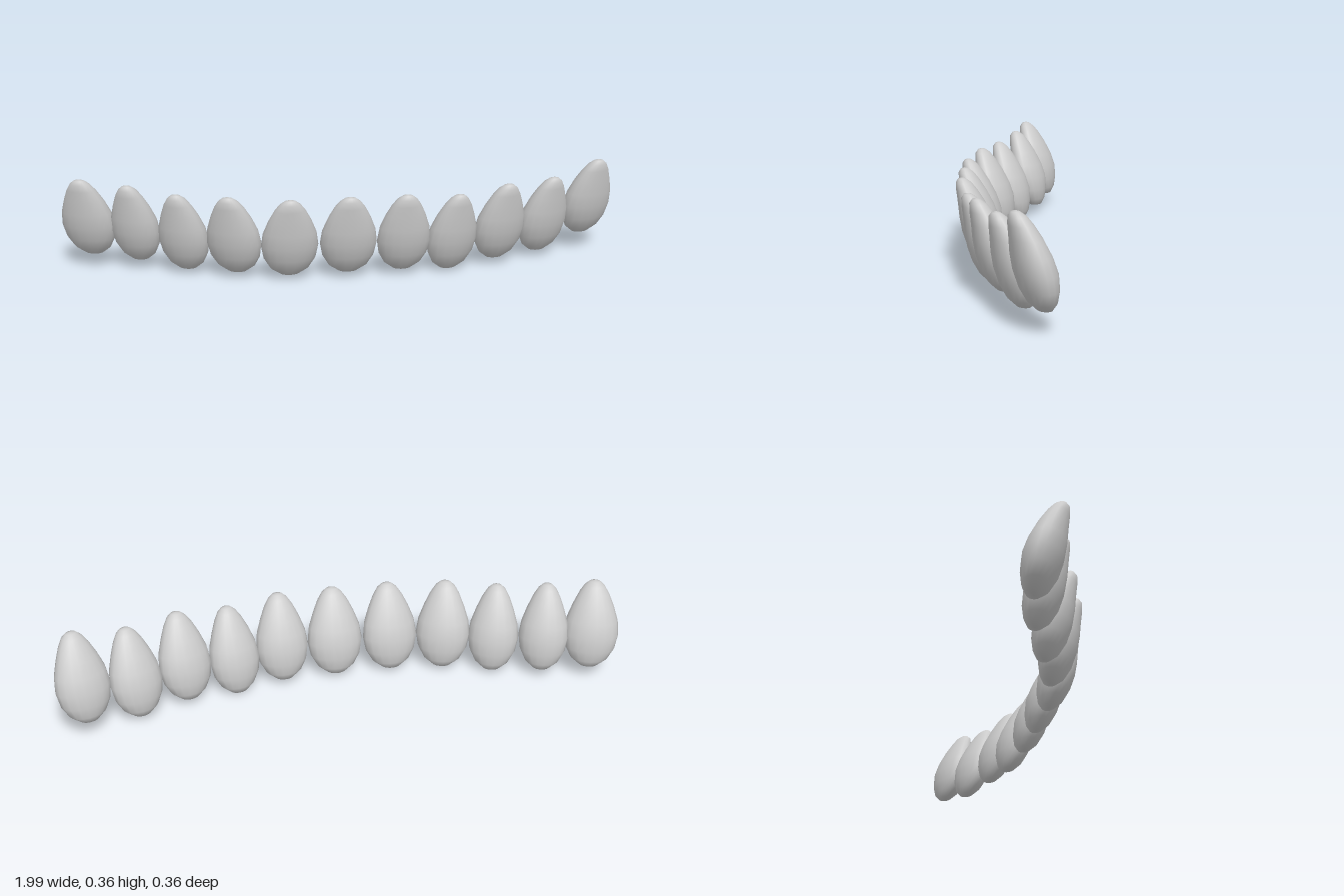
import * as THREE from 'three';

// Cross-sections of one tooth from biting edge to root tip:
// [height, half width, back z, front z], z measured from the crown centre
const LEVELS = [
  [0.005, 0.034, -0.058, -0.012],
  [0.03, 0.068, -0.069, 0.015],
  [0.07, 0.091, -0.073, 0.038],
  [0.12, 0.1, -0.068, 0.055],
  [0.17, 0.093, -0.050, 0.064],
  [0.22, 0.074, -0.024, 0.069],
  [0.26, 0.054, 0.002, 0.074],
  [0.285, 0.036, 0.022, 0.075],
  [0.298, 0.019, 0.04, 0.067],
];
const SIDES = 18;

function toothGeometry() {
  const pos = [0, 0, -0.035];
  for (const [y, w, back, front] of LEVELS) {
    for (let i = 0; i < SIDES; i++) {
      const a = (i / SIDES) * Math.PI * 2;
      pos.push(w * Math.cos(a), y, (front + back) / 2 + ((front - back) / 2) * Math.sin(a));
    }
  }
  pos.push(0, 0.302, 0.053);
  const tip = pos.length / 3 - 1;
  const at = (level, i) => 1 + level * SIDES + (i % SIDES);
  const last = LEVELS.length - 1;
  const index = [];
  for (let i = 0; i < SIDES; i++) {
    index.push(0, at(0, i), at(0, i + 1));
    for (let l = 0; l < last; l++) {
      index.push(at(l, i), at(l + 1, i), at(l, i + 1));
      index.push(at(l, i + 1), at(l + 1, i), at(l + 1, i + 1));
    }
    index.push(at(last, i), tip, at(last, i + 1));
  }
  const g = new THREE.BufferGeometry();
  g.setAttribute('position', new THREE.Float32BufferAttribute(pos, 3));
  g.setIndex(index);
  g.computeVertexNormals();
  return g;
}

// Placement of each tooth along the arch: [x, base y, z, yaw, width scale]
const TEETH = [
  [-0.905, 0.045, -0.105, -0.35, 0.98],
  [-0.74, 0.03, -0.065, -0.38, 0.89],
  [-0.572, 0.012, 0.0, -0.38, 0.91],
  [-0.398, 0.015, 0.06, -0.33, 0.98],
  [-0.205, 0.01, 0.098, 0, 1],
  [0, 0.014, 0.1, 0, 1],
  [0.195, 0.015, 0.098, 0.05, 0.95],
  [0.373, 0, 0.07, 0.25, 0.92],
  [0.552, 0.02, 0.035, 0.28, 0.95],
  [0.728, 0.018, -0.03, 0.36, 0.94],
  [0.907, 0.06, -0.09, 0.35, 0.96],
];

export function createModel() {
  const group = new THREE.Group();
  group.name = 'toothRow';
  const geometry = toothGeometry();
  const material = new THREE.MeshStandardMaterial({ color: 0xcccccc });
  TEETH.forEach(([x, y, z, yaw, width], i) => {
    const tooth = new THREE.Mesh(geometry, material);
    tooth.name = `tooth${i + 1}`;
    tooth.position.set(x, y, z);
    tooth.rotation.y = yaw;
    tooth.scale.x = width;
    group.add(tooth);
  });
  return group;
}
